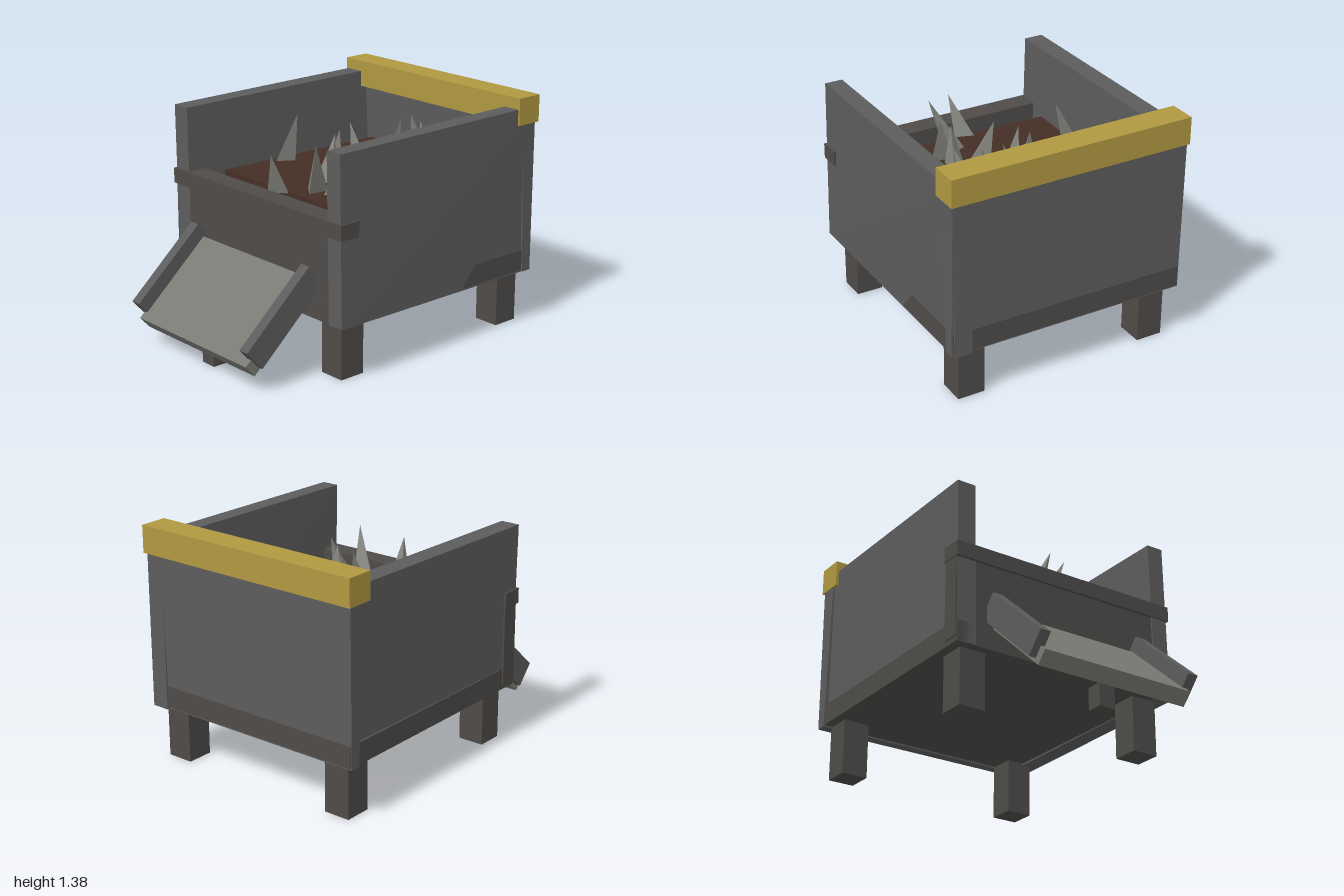
import * as THREE from 'three';

const mat = (color) => new THREE.MeshStandardMaterial({ color, flatShading: true });

export function createModel() {
  const group = new THREE.Group();
  const wallMat = mat(0x5c5c5c), woodMat = mat(0x4e4b48), soilMat = mat(0x452e25);
  const trimMat = mat(0xb09840), rampMat = mat(0x7a7a74), spikeMat = mat(0x84847e);

  const add = (name, geometry, material) => {
    geometry.computeVertexNormals();
    const mesh = new THREE.Mesh(geometry, material);
    mesh.name = name;
    group.add(mesh);
    return mesh;
  };

  // Box given by its limits; the optional warp nudges corners for a rough-cut look
  const block = (name, material, [x0, x1], [y0, y1], [z0, z1], warp) => {
    const g = new THREE.BoxGeometry(x1 - x0, y1 - y0, z1 - z0);
    g.translate((x0 + x1) / 2, (y0 + y1) / 2, (z0 + z1) / 2);
    if (warp) {
      const p = g.attributes.position, v = new THREE.Vector3();
      const mid = new THREE.Vector3((x0 + x1) / 2, (y0 + y1) / 2, (z0 + z1) / 2);
      for (let i = 0; i < p.count; i++) {
        v.fromBufferAttribute(p, i);
        warp(v, v.x > mid.x, v.y > mid.y, v.z > mid.z);
        p.setXYZ(i, v.x, v.y, v.z);
      }
    }
    return add(name, g, material);
  };

  // Floor and walls of the bin
  block('floor', woodMat, [-0.515, 0.982], [0.33, 0.455], [-0.717, 0.717]);
  block('frontWall', wallMat, [-0.52, 0.978], [0.33, 1.3], [0.605, 0.71], (v, right, top) => {
    if (right) v.y += top ? 0.015 : -0.015;
    if (!top) v.z += right ? 0 : 0.018;
    if (right && !top) v.x += 0.012;
    if (right && top) v.z += 0.01;
  });
  block('backWall', wallMat, [-0.515, 0.978], [0.335, 1.3], [-0.725, -0.61], (v, right, top) => {
    if (right) v.z += 0.012;
    if (right && top) v.y += 0.015;
    if (!top) v.z += 0.015;
  });
  block('tallEndWall', wallMat, [0.875, 0.985], [0.32, 1.3], [-0.722, 0.715], (v, right, top, front) => {
    if (!top) v.x += right ? -0.008 : 0.04;
    if (!top && front) v.z += 0.01;
  });
  block('lowEndWall', woodMat, [-0.512, -0.405], [0.36, 0.84], [-0.725, 0.715]);
  block('lowEndRail', woodMat, [-0.53, -0.4], [0.83, 0.92], [-0.73, 0.73]);
  block('topBeam', trimMat, [0.835, 1], [1.22, 1.38], [-0.73, 0.73]);

  // Soil filling, slightly uneven
  block('soil', soilMat, [-0.285, 0.885], [0.45, 0.89], [-0.58, 0.545], (v, right, top, front) => {
    if (right) v.z += front ? -0.015 : top ? 0.035 : -0.015;
    if (!right && front) v.x -= 0.02;
    if (!right && top) v.x += 0.015;
  });

  // Legs
  for (const x of [-0.38, 0.85])
    for (const z of [-0.58, 0.58])
      block('leg', woodMat, [x - 0.08, x + 0.08], [0, 0.34], [z - 0.08, z + 0.08]);

  // Sloping ramp with two side rails and a small foot
  const tilted = (name, material, length, height, depth, x, y, z) => {
    const m = add(name, new THREE.BoxGeometry(length, height, depth), material);
    m.position.set(x, y, z);
    m.rotation.z = 0.725;
  };
  tilted('rampPlate', rampMat, 0.6, 0.092, 0.96, -0.725, 0.33, -0.003);
  for (const z of [-0.492, 0.484])
    tilted('rampRail', wallMat, 0.58, 0.155, 0.065, -0.732, 0.395, z);
  block('rampFoot', woodMat, [-0.865, -0.77], [0, 0.13], [-0.05, 0.05]);

  // Leaning shards on the soil: base x, base z, tip x, tip z, radius, height, turn
  const shards = [
    [0.14, -0.52, 0.15, -0.41, 0.07, 0.31, 0.5], [0.22, -0.18, 0.27, -0.17, 0.065, 0.24, 0.6],
    [-0.29, -0.06, -0.39, -0.01, 0.07, 0.24, 0.2], [0.03, -0.01, 0.11, -0.03, 0.075, 0.27, 1.6],
    [-0.15, 0.09, -0.24, 0.2, 0.075, 0.31, 0.9], [-0.1, 0.2, -0.02, 0.24, 0.075, 0.28, 0.3],
    [0.03, 0.18, -0.01, 0.18, 0.065, 0.25, 1.1], [0.31, 0, 0.28, -0.09, 0.075, 0.3, 0.1],
    [0.34, 0.16, 0.4, 0.21, 0.075, 0.29, 1.4], [0.47, 0.03, 0.48, 0.13, 0.075, 0.33, 0.7],
    [0.75, 0.03, 0.73, -0.04, 0.07, 0.28, 1.2], [0.74, 0.08, 0.75, 0.02, 0.06, 0.25, 0],
    [0.36, 0.26, 0.29, 0.33, 0.075, 0.27, 0.4], [0.39, 0.54, 0.46, 0.54, 0.075, 0.3, 0.8],
  ];
  for (const [x, z, tipX, tipZ, r, h, turn] of shards) {
    const g = new THREE.ConeGeometry(r, h, 3).rotateY(turn).translate(0, h / 2, 0);
    const lean = new THREE.Matrix4().set(
      1, (tipX - x) / h, 0, 0,
      0, 1, 0, 0,
      0, (tipZ - z) / h, 1, 0,
      0, 0, 0, 1);
    g.applyMatrix4(lean);
    add('shard', g, spikeMat).position.set(x, 0.88, z);
  }
  return group;
}
